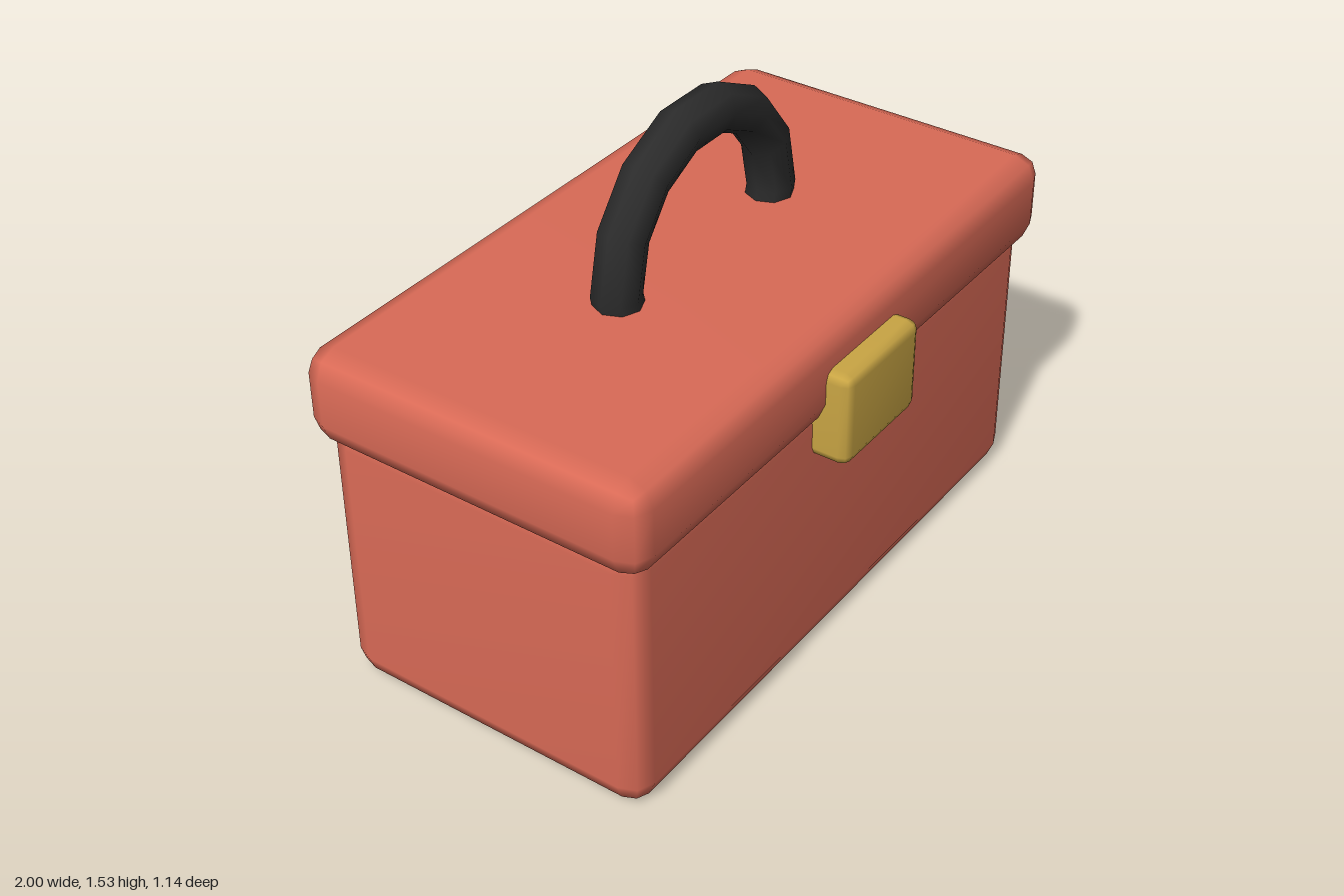
import * as THREE from 'three';
import { RoundedBoxGeometry } from 'three/addons/geometries/RoundedBoxGeometry.js';
import { mergeVertices } from 'three/addons/utils/BufferGeometryUtils.js';

const mat = (name, color) => {
  const m = new THREE.MeshStandardMaterial({ color });
  m.name = name;
  return m;
};

// Bevelled box with soft, shared normals, given by its min and max corners
function softBox(name, [x0, y0, z0], [x1, y1, z1], radius, material) {
  let geo = new RoundedBoxGeometry(x1 - x0, y1 - y0, z1 - z0, 1, radius);
  geo.deleteAttribute('uv');
  geo.deleteAttribute('normal');
  geo.clearGroups();
  geo = mergeVertices(geo, 1e-4);
  geo.computeVertexNormals();
  const mesh = new THREE.Mesh(geo, material);
  mesh.name = name;
  mesh.position.set((x0 + x1) / 2, (y0 + y1) / 2, (z0 + z1) / 2);
  return mesh;
}

export function createModel() {
  const group = new THREE.Group();
  group.name = 'toolbox';
  const red = mat('redPaint', 0xd96a56);
  const brass = mat('brass', 0xc9a544);
  const black = mat('blackGrip', 0x2b2b2b);

  // Body, overhanging lid and front latch
  group.add(
    softBox('body', [-0.965, 0, -0.533], [0.965, 0.855, 0.463], 0.07, red),
    softBox('lid', [-1, 0.797, -0.57], [1, 1.075, 0.5], 0.07, red),
    softBox('latch', [-0.18, 0.682, 0.41], [0.18, 0.967, 0.57], 0.03, brass),
  );

  // Arched handle, its ends sunk into the lid
  const arc = Math.PI * 1.3;
  const handle = new THREE.Mesh(new THREE.TorusGeometry(0.36, 0.07, 8, 9, arc), black);
  handle.name = 'handle';
  handle.rotation.z = (Math.PI - arc) / 2;
  handle.position.set(0, 1.108, -0.035);
  group.add(handle);

  return group;
}
